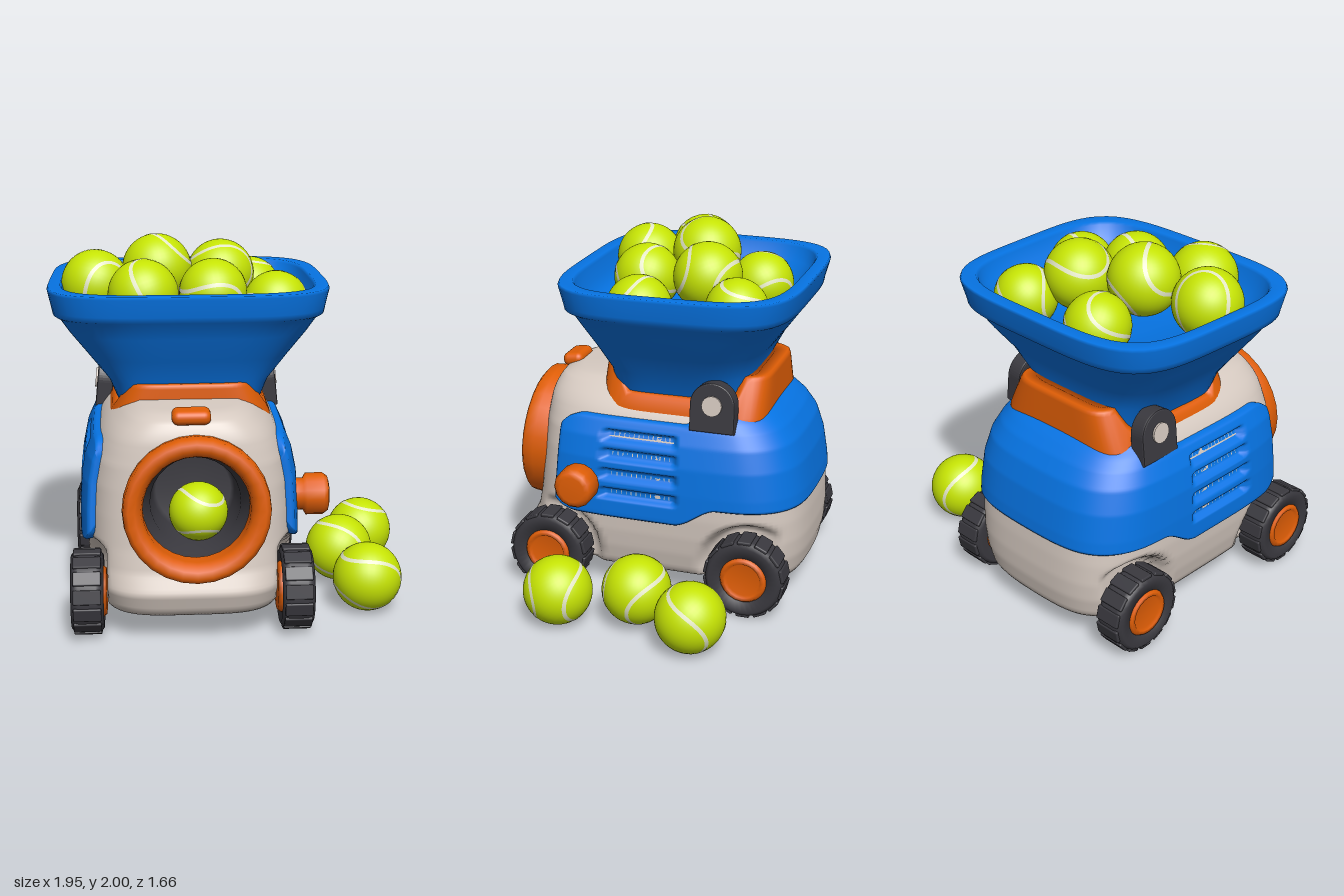
import * as THREE from 'three';
import { RoundedBoxGeometry } from 'three/addons/geometries/RoundedBoxGeometry.js';

const CX = -0.24, ZC = -0.05;      // machine centre line
const mat = (name, color, side = THREE.FrontSide) => Object.assign(new THREE.MeshStandardMaterial({ color, side }), { name });
const ss = THREE.MathUtils.smoothstep;
const V2 = list => list.map(p => new THREE.Vector2(...p));

// Smooth surface from rows and columns of points; keep() may drop cells
function grid(rows, cols, closed, point, keep = () => true) {
  const pos = [], idx = [];
  const n = closed ? cols : cols + 1;
  for (let i = 0; i <= rows; i++) for (let j = 0; j < n; j++) pos.push(...point(i, j));
  for (let i = 0; i < rows; i++) for (let j = 0; j < cols; j++) {
    const k = (j + 1) % n, a = i * n + j, b = i * n + k, c = a + n, d = b + n;
    const mid = q => (pos[a * 3 + q] + pos[d * 3 + q]) / 2;
    if (keep(mid(0), mid(1), mid(2))) idx.push(a, b, d, a, d, c);
  }
  const g = new THREE.BufferGeometry();
  g.setAttribute('position', new THREE.Float32BufferAttribute(pos, 3));
  g.setIndex(idx);
  g.computeVertexNormals();
  return g;
}

// Point on a unit rounded square, angle 0 at the front
function rounded(a, n) {
  const s = Math.sin(a), c = Math.cos(a);
  const k = (Math.abs(s) ** n + Math.abs(c) ** n) ** (1 / n);
  return [s / k, c / k];
}

// Body stations: height, half width, front z, back z
const BODY = [
  [0.15, 0.485, 0.735, -0.785], [0.18, 0.505, 0.765, -0.805], [0.28, 0.53, 0.8, -0.825], [0.38, 0.545, 0.75, -0.83],
  [0.5, 0.553, 0.725, -0.825], [0.65, 0.55, 0.71, -0.81], [0.8, 0.54, 0.695, -0.785], [0.92, 0.515, 0.685, -0.745],
  [1.0, 0.48, 0.675, -0.69], [1.05, 0.452, 0.668, -0.635], [1.09, 0.42, 0.655, -0.58], [1.13, 0.375, 0.635, -0.53],
  [1.16, 0.335, 0.61, -0.49], [1.19, 0.27, 0.52, -0.42]];
function bodyPoint(a, y, off = 0) {
  let i = 0;
  while (i < BODY.length - 2 && y > BODY[i + 1][0]) i++;
  const t = (y - BODY[i][0]) / (BODY[i + 1][0] - BODY[i][0]);
  const [, hw, zf, zb] = BODY[i].map((v, k) => v + (BODY[i + 1][k] - v) * t);
  const [px, pz] = rounded(a, Math.cos(a) > 0 ? 4 : 4.6);
  // the back bows gently outward
  const z = pz > 0 ? (zf + off - ZC) * pz : (ZC - zb + off) * pz * (1 - 0.05 * px * px);
  return [CX + (hw + off) * px, y, ZC + z];
}

const WHEELS = [0.56, -0.565];
function bodyGeometry() {
  const R = 60, C = 176;
  return grid(R, C, true, (i, j) => {
    const a = j / C * Math.PI * 2;
    if (i === 0) return [CX, 0.15, ZC];
    if (i === R) return [CX, 1.2, ZC];
    const p = bodyPoint(a, 0.15 + 1.04 * (i - 1) / (R - 2));
    // wheel arches
    for (const wz of WHEELS) {
      const k = 1 - ss(Math.hypot(p[2] - wz, p[1] - 0.225), 0.23, 0.29), dx = p[0] - CX;
      if (Math.abs(dx) > 0.44) p[0] = CX + Math.sign(dx) * (Math.abs(dx) + (0.44 - Math.abs(dx)) * k);
    }
    return p;
  }, (x, y, z) => z < 0.4 || Math.hypot(x - CX - 0.02, y - 0.72) > 0.315);
}

// Wraparound shell with vent grooves, thinner at the back
function shellGeometry() {
  const R = 60, C = 220, a0 = 0.86;
  return grid(R, C, false, (i, j) => {
    const a = a0 + (j / C) * (Math.PI * 2 - 2 * a0);
    const z = bodyPoint(a, 0.7)[2];
    const e = Math.min(1, Math.min(j, C - j) / C * 4.56 / 0.18);
    const r = 0.14 * (1 - Math.sqrt(1 - (1 - e) ** 2));
    const yb = 0.47 + 0.11 * ss(-z, 0.15, 0.38) + r, yt = 1.02 + 0.1 * ss(-z, 0.2, 0.55) - r;
    const y = yb + (yt - yb) * THREE.MathUtils.clamp((i - 1) / (R - 2), 0, 1);
    const thick = 0.034 - 0.018 * ss(-z, 0.5, 0.75);
    let off = thick;
    for (const vy of [0.93, 0.83, 0.72, 0.61])
      off -= 0.034 * (1 - ss(Math.abs(y - vy), 0.015, 0.038)) * ss(z, -0.18, -0.15) * (1 - ss(z, 0.23, 0.26));
    if (i === 0 || i === R || j === 0 || j === C) off = -0.02;
    else if (i === 1 || i === R - 1 || j === 1 || j === C - 1) off = thick * 0.65;
    return bodyPoint(a, y, off);
  });
}

// Hopper stations: outside upward, over the rim, down inside to a shallow dish
const HOPPER = [
  [1.1, 0.36, 0.26, -0.49, 5], [1.26, 0.425, 0.295, -0.5, 4.5], [1.4, 0.535, 0.37, -0.575, 3.8], [1.53, 0.635, 0.435, -0.67, 3.8],
  [1.61, 0.685, 0.47, -0.715, 4], [1.63, 0.712, 0.5, -0.745, 4.2], [1.66, 0.718, 0.505, -0.75, 4.2], [1.755, 0.738, 0.528, -0.775, 4.2],
  [1.77, 0.732, 0.522, -0.77, 4.2], [1.77, 0.67, 0.46, -0.705, 4.2], [1.755, 0.66, 0.45, -0.695, 4.2], [1.68, 0.64, 0.43, -0.675, 4],
  [1.61, 0.57, 0.38, -0.6, 3.6], [1.56, 0.42, 0.25, -0.46, 3], [1.54, 0.2, 0.05, -0.28, 3], [1.54, 0, -0.1, -0.1, 3]];
const hopperGeometry = () => grid(HOPPER.length - 1, 96, true, (i, j) => {
  const [y, hw, zf, zb, n] = HOPPER[i], [px, pz] = rounded(j / 96 * Math.PI * 2, n);
  return [-0.23 + hw * px * (1 + 0.025 * pz), y, (zf + zb) / 2 + (zf - zb) / 2 * pz];
});

// Saddle collar: high front and back, low sides
const collarGeometry = () => grid(6, 120, true, (i, j) => {
  const [px, pz] = rounded(j / 120 * Math.PI * 2, 6);
  const high = ss(Math.abs(pz), 0.66, 0.78);
  const top = 1.145 + 0.125 * high;
  const hw = [0.445, 0.435, 0.415 - 0.07 * high, 0.4 - 0.065 * high, 0.385 - 0.06 * high, 0.3, 0.3][i];
  const hz = [0.475, 0.47, 0.465, 0.46, 0.45, 0.36, 0.36][i];
  const y = [1.0, 1.07, top - 0.025, top - 0.007, top, top, 1.0][i];
  return [CX + 0.01 + hw * px, y, -0.135 + hz * pz];
});

// Flat seam band lying on a unit ball
function seamGeometry() {
  const at = t => new THREE.Vector3(0.72 * Math.cos(t) + 0.28 * Math.cos(3 * t), 0.72 * Math.sin(t) - 0.28 * Math.sin(3 * t),
    2 * Math.sqrt(0.72 * 0.28) * Math.sin(2 * t)).normalize();
  return grid(2, 96, true, (i, j) => {
    const t = j / 96 * Math.PI * 2, p = at(t);
    const across = p.clone().cross(at(t + 0.01).sub(p)).normalize();
    return p.addScaledVector(across, (i - 1) * 0.058).normalize().multiplyScalar(1.008).toArray();
  });
}

export function createModel() {
  const model = new THREE.Group();
  const blue = mat('blue plastic', 0x0674e4), cream = mat('cream plastic', 0xd6cac1), orange = mat('orange plastic', 0xe05e06);
  const dark = mat('dark rubber', 0x3a393f), felt = mat('ball felt', 0xc6e404), seam = mat('ball seam', 0xe2e6c6, THREE.DoubleSide);
  const add = (name, geo, m, p = [0, 0, 0], r = [0, 0, 0], parent = model) => {
    const mesh = new THREE.Mesh(geo, m);
    mesh.name = name;
    mesh.position.set(...p);
    mesh.rotation.set(...r);
    parent.add(mesh);
  };
  const group = (name, p, r = [0, 0, 0]) => {
    const g = new THREE.Group();
    g.name = name;
    g.position.set(...p);
    g.rotation.set(...r);
    model.add(g);
    return g;
  };

  add('body', bodyGeometry(), cream);
  add('sideShell', shellGeometry(), blue);
  add('hopper', hopperGeometry(), blue);
  add('collar', collarGeometry(), orange);

  // Front outlet
  const outlet = group('outlet', [CX + 0.02, 0.72, 0.73], [Math.PI / 2 - 0.07, 0, 0]);
  add('outletRing', new THREE.LatheGeometry(V2([[0.37, -0.1], [0.38, 0], [0.375, 0.055], [0.35, 0.075], [0.315, 0.07],
    [0.285, 0.05], [0.275, 0.01], [0.275, -0.08]]), 28), orange, [0, 0, 0], [0, 0, 0], outlet);
  add('outletTunnel', new THREE.LatheGeometry(V2([[0.285, 0], [0.275, -0.14], [0.235, -0.16], [0.22, -0.4], [0.2, -0.43], [0, -0.43]]), 28),
    dark, [0, 0, 0], [0, 0, 0], outlet);

  add('topButton', new RoundedBoxGeometry(0.2, 0.075, 0.12, 3, 0.035), orange, [CX, 1.175, 0.6], [0.12, 0, 0]);

  // Side knob
  add('knob', new THREE.LatheGeometry(V2([[0.085, -0.06], [0.085, 0.005], [0.112, 0.02], [0.112, 0.11], [0.095, 0.135], [0.07, 0.142], [0, 0.142]]), 14),
    orange, [0.355, 0.67, 0.36], [0, 0, -Math.PI / 2]);

  // Hinge brackets with bolts
  const plate = new THREE.Shape();
  plate.moveTo(-0.115, -0.14).lineTo(0.115, -0.14).lineTo(0.115, 0).absarc(0, 0, 0.115, 0, Math.PI, false).closePath();
  const bracketGeo = new THREE.ExtrudeGeometry(plate, { depth: 0.07, bevelSize: 0.008, bevelThickness: 0.01, bevelSegments: 2, curveSegments: 14 });
  bracketGeo.translate(0, 0, -0.035).rotateY(Math.PI / 2);
  for (const s of [-1, 1]) {
    const b = group('hingeBracket', [CX + 0.01 + s * 0.455, 1.15, -0.35], [0, 0, s * 0.1]);
    add('bracketPlate', bracketGeo, dark, [0, 0, 0], [0, 0, 0], b);
    add('bolt', new THREE.CylinderGeometry(0.055, 0.055, 0.11, 16), cream, [0, 0, 0], [0, 0, Math.PI / 2], b);
  }

  // Wheels
  const tyre = new THREE.LatheGeometry(V2([[0.13, -0.075], [0.19, -0.085], [0.21, -0.07], [0.218, -0.045], [0.218, 0.045],
    [0.21, 0.07], [0.19, 0.085], [0.13, 0.075], [0.12, 0.04], [0.12, -0.04], [0.13, -0.075]]), 36);
  const tread = new RoundedBoxGeometry(0.02, 0.145, 0.075, 1, 0.007);
  const hub = new THREE.LatheGeometry(V2([[0, -0.1], [0.12, -0.1], [0.135, -0.08], [0.135, 0.06], [0.12, 0.085], [0.1, 0.085], [0.09, 0.07], [0, 0.07]]), 20);
  for (const s of [-1, 1]) for (const z of WHEELS) {
    const w = group('wheel', [CX + s * 0.545, 0.225, z], [0, 0, -s * Math.PI / 2]);
    add('tyre', tyre, dark, [0, 0, 0], [0, 0, 0], w);
    for (let i = 0; i < 14; i++) {
      const a = i / 14 * Math.PI * 2;
      add('treadBlock', tread, dark, [0.213 * Math.cos(a), 0, -0.213 * Math.sin(a)], [0, a, 0], w);
    }
    add('hub', hub, orange, [0, 0, 0], [0, 0, 0], w);
  }

  // Balls: x, y, z, radius
  const balls = [
    [-0.38, 1.66, -0.44, 0.172], [0.14, 1.65, -0.44, 0.168], [-0.04, 1.765, -0.23, 0.185], [-0.39, 1.81, -0.12, 0.188],
    [-0.72, 1.75, -0.01, 0.182], [0.24, 1.645, 0.06, 0.175], [-0.1, 1.72, 0.13, 0.18], [-0.47, 1.735, 0.24, 0.183],
    [-0.2, 0.62, 0.46, 0.155], [0.72, 0.19, 0.36, 0.186], [0.62, 0.21, -0.05, 0.186], [0.79, 0.19, -0.4, 0.186]];
  const ballGeo = new THREE.SphereGeometry(1, 40, 28), seamGeo = seamGeometry();
  balls.forEach(([x, y, z, r], i) => {
    const b = group('ball', [x, y, z], [i * 1.9 + 0.5, i * 2.3, i * 1.1]);
    b.scale.setScalar(r);
    add('felt', ballGeo, felt, [0, 0, 0], [0, 0, 0], b);
    add('seam', seamGeo, seam, [0, 0, 0], [0, 0, 0], b);
  });
  return model;
}
